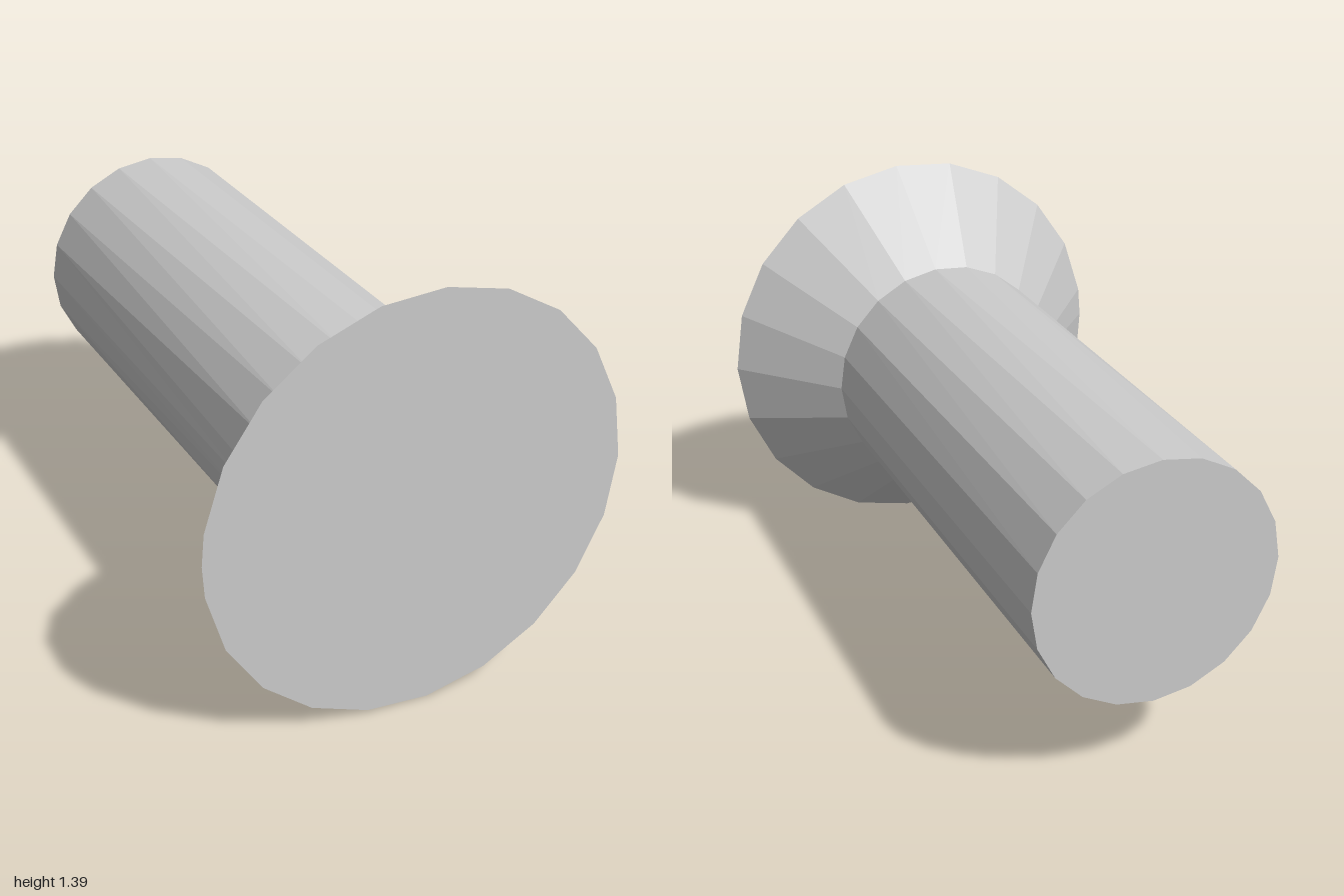
import * as THREE from 'three';

const CENTRE_Y = 0.695;

// Ring angles over a full turn, closing on 2 PI
const backAngles = Array.from({ length: 21 }, (_, i) => (i / 20) * Math.PI * 2);
const headAngles = Array.from({ length: 22 }, (_, i) => (i / 21) * Math.PI * 2);
headAngles.splice(11, 0, Math.PI); // extra corner on the -x side

const ring = (angles, r, z) =>
  angles.map((a) => ({ a, p: [r * Math.cos(a), CENTRE_Y + r * Math.sin(a), z] }));

function mesh(name, positions) {
  const geometry = new THREE.BufferGeometry();
  geometry.setAttribute('position', new THREE.Float32BufferAttribute(positions, 3));
  geometry.computeVertexNormals();
  const material = new THREE.MeshStandardMaterial({ color: 0xcccccc, flatShading: true });
  const m = new THREE.Mesh(geometry, material);
  m.name = name;
  return m;
}

// Stitch a front ring to a back ring, which may differ in corner count
function wall(name, front, back) {
  const out = [];
  let i = 0, j = 0;
  while (i < front.length - 1 || j < back.length - 1) {
    const nextFront = front[i + 1]?.a ?? Infinity;
    const nextBack = back[j + 1]?.a ?? Infinity;
    const stepFront = nextFront <= nextBack;
    out.push(...front[i].p, ...back[j].p, ...(stepFront ? front[i + 1] : back[j + 1]).p);
    if (stepFront) i++; else j++;
  }
  return mesh(name, out);
}

// Flat disc closing a ring, facing +z or -z
function cap(name, points, facing) {
  const out = [];
  const centre = [0, CENTRE_Y, points[0].p[2]];
  for (let i = 0; i < points.length - 1; i++) {
    const [a, b] = facing > 0 ? [i, i + 1] : [i + 1, i];
    out.push(...centre, ...points[a].p, ...points[b].p);
  }
  return mesh(name, out);
}

export function createModel() {
  const rim = ring(headAngles, 0.695, 1);
  const neck = ring(headAngles, 0.4, 0.68);
  const end = ring(backAngles, 0.4, -1);

  const model = new THREE.Group();
  model.name = 'countersunkRivet';
  model.add(
    cap('headFace', rim, 1),
    wall('headCone', rim, neck),
    wall('shank', neck, end),
    cap('shankEnd', end, -1)
  );
  return model;
}
